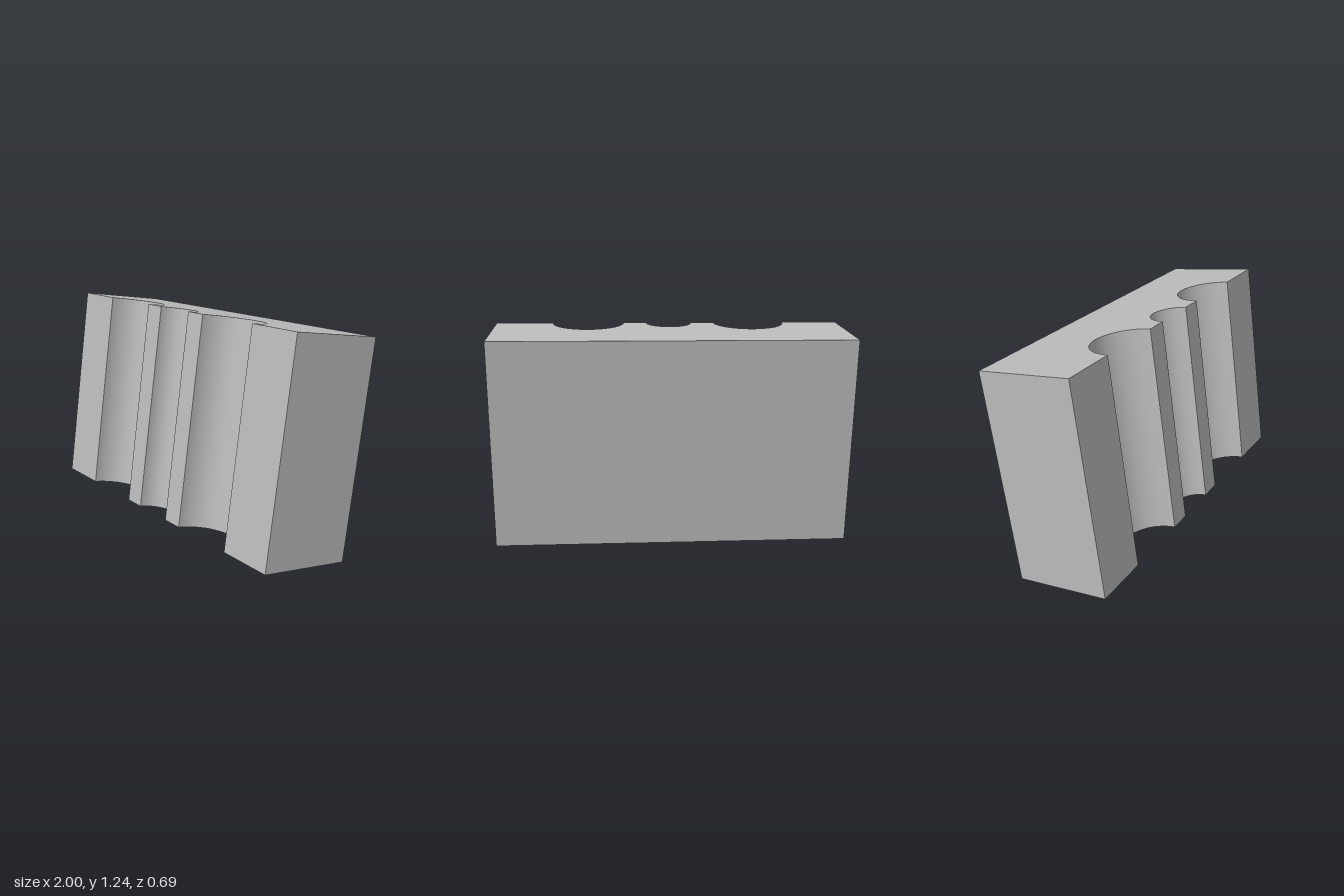
import * as THREE from 'three';
import { toCreasedNormals } from 'three/addons/utils/BufferGeometryUtils.js';

const DEPTH = 0.53, HEIGHT = 1.174, TILT = THREE.MathUtils.degToRad(8);

export function createModel() {
  const model = new THREE.Group();
  model.name = 'groovedBlock';

  const grey = new THREE.MeshStandardMaterial({ color: 0xbbbbbb });
  grey.name = 'light grey';

  // Plan outline: a rectangle with three half-round grooves in its front edge
  const front = -DEPTH / 2;
  const outline = new THREE.Shape();
  outline.moveTo(-1, front);
  for (const [x, radius] of [[-0.47, 0.205], [0, 0.132], [0.47, 0.205]]) {
    outline.lineTo(x - radius, front);
    outline.absarc(x, front, radius, Math.PI, 0, true);
  }
  outline.lineTo(1, front);
  outline.lineTo(1, -front);
  outline.lineTo(-1, -front);
  outline.closePath();

  // Raise the outline, then lean the block backwards on its rear edge
  const solid = new THREE.ExtrudeGeometry(outline, { depth: HEIGHT, bevelEnabled: false, curveSegments: 40 });
  solid.translate(0, 0, -HEIGHT / 2);
  solid.rotateX(-Math.PI / 2 - TILT);
  solid.computeBoundingBox();
  solid.translate(0, -solid.boundingBox.min.y, 0);

  const block = new THREE.Mesh(toCreasedNormals(solid, 0.5), grey);
  block.name = 'block';
  model.add(block);
  return model;
}
